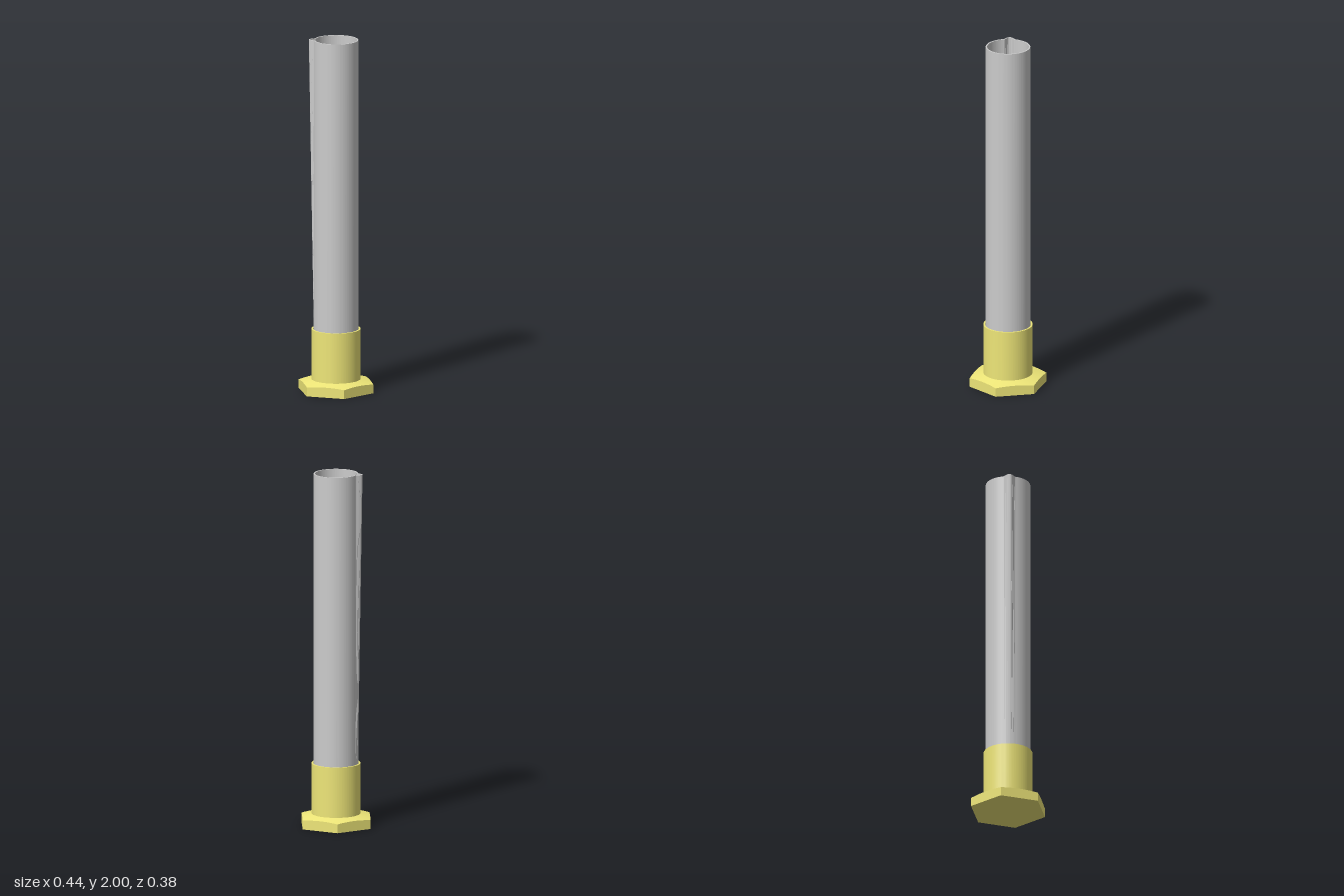
import * as THREE from 'three';
import { toCreasedNormals } from 'three/addons/utils/BufferGeometryUtils.js';

const SEGMENTS = 180;
const rad = THREE.MathUtils.degToRad;

// Skins a stack of rings; each ring gives radius and height for an angle in degrees.
function loft(rings, crease) {
  const positions = [];
  const point = (ring, j) => {
    const deg = (j % SEGMENTS) * 360 / SEGMENTS;
    const [r, y] = ring(deg);
    return [r * Math.cos(rad(deg)), y, -r * Math.sin(rad(deg))];
  };
  for (let i = 0; i < rings.length - 1; i++) {
    const lowIsPoint = rings[i](0)[0] === 0;
    const highIsPoint = rings[i + 1](0)[0] === 0;
    for (let j = 0; j < SEGMENTS; j++) {
      const a = point(rings[i], j), b = point(rings[i], j + 1);
      const c = point(rings[i + 1], j + 1), d = point(rings[i + 1], j);
      if (!lowIsPoint) positions.push(...a, ...b, ...c);
      if (!highIsPoint) positions.push(...a, ...c, ...d);
    }
  }
  const geometry = new THREE.BufferGeometry();
  geometry.setAttribute('position', new THREE.Float32BufferAttribute(positions, 3));
  return toCreasedNormals(geometry, crease);
}

const circle = (r, y) => () => [r, y];

// Radius of the hexagon, with corners on the x axis
const hexRadius = (deg) => 0.189 / Math.cos(rad((deg % 60) - 30));

// Circle with a pouring spout that grows from nothing to full size at the rim
function spoutRing(r, y, halfWidth) {
  const size = Math.max(0, (y - 0.36) / 1.64) * 0.027;
  return (deg) => {
    const t = 1 - Math.abs(deg - 194) / halfWidth;
    return [r + size * Math.min(1, Math.max(0, t * 1.3)), y];
  };
}

export function createModel() {
  const model = new THREE.Group();
  const yellow = new THREE.MeshStandardMaterial({ color: 0xeee678 });
  const grey = new THREE.MeshStandardMaterial({ color: 0xcccccc });

  // Hexagonal foot with a gently coned top, running up into the holding collar
  const foot = new THREE.Mesh(loft([
    circle(0, 0),
    (deg) => [hexRadius(deg), 0],
    (deg) => [hexRadius(deg), 0.05 + (0.218 - hexRadius(deg)) * 0.25],
    circle(0.137, 0.07),
    circle(0.137, 0.355),
    circle(0.127, 0.355),
    circle(0.127, 0.06),
    circle(0, 0.06),
  ], 0.2), yellow);
  foot.name = 'footAndCollar';
  model.add(foot);

  // Hollow tube: outer wall, rim, inner wall and rounded floor
  const floor = [1, 2, 3, 4, 5, 6].map((i) => {
    const a = i * Math.PI / 12;
    return circle(0.075 + 0.04 * Math.cos(a), 0.12 - 0.04 * Math.sin(a));
  });
  const tube = new THREE.Mesh(loft([
    circle(0, 0.062),
    circle(0.124, 0.062),
    spoutRing(0.124, 0.36, 15),
    spoutRing(0.124, 2, 15),
    spoutRing(0.116, 2, 13),
    spoutRing(0.116, 0.36, 13),
    circle(0.115, 0.12),
    ...floor,
    circle(0, 0.078),
  ], 0.5), grey);
  tube.name = 'tubeWithSpout';
  model.add(tube);

  return model;
}
